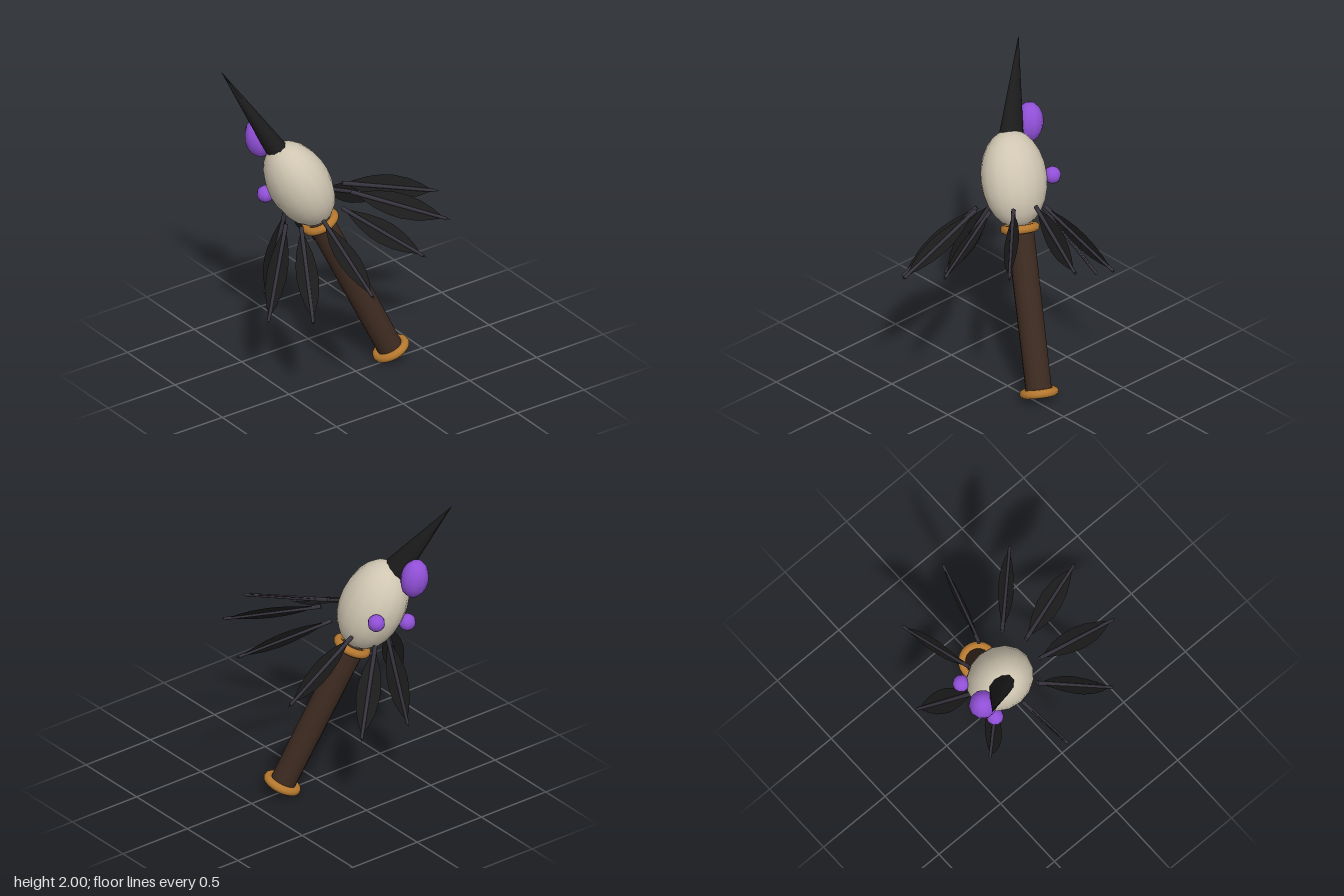
import * as THREE from 'three';

const V = (a) => new THREE.Vector3(...a);
const UP = new THREE.Vector3(0, 1, 0);

const mat = (name, color) => {
  const m = new THREE.MeshStandardMaterial({ color });
  m.name = name;
  return m;
};

export function createModel() {
  const group = new THREE.Group();
  const bone = mat('bone', 0xd0c6b2);
  const wood = mat('dark wood', 0x3c2a20);
  const brass = mat('brass', 0xb5782f);
  const purple = mat('purple', 0x9150d8);
  const black = mat('black', 0x1b1b1b);
  black.side = THREE.DoubleSide;
  const quill = mat('quill grey', 0x37333d);

  const add = (name, geometry, material, position, parent = group) => {
    const mesh = new THREE.Mesh(geometry, material);
    mesh.name = name;
    mesh.position.copy(position);
    parent.add(mesh);
    return mesh;
  };

  // Handle with a ring at each end
  const bottom = V([-0.01, 0.07, -0.27]);
  const top = V([-0.212, 0.99, 0.115]);
  const axis = top.clone().sub(bottom);
  const length = axis.length();
  axis.normalize();
  const lean = new THREE.Quaternion().setFromUnitVectors(UP, axis);
  const handle = add('handle', new THREE.CylinderGeometry(0.084, 0.08, length, 16), wood,
    bottom.clone().add(top).multiplyScalar(0.5));
  handle.quaternion.copy(lean);
  const ringGeometry = new THREE.TorusGeometry(0.095, 0.027, 10, 24).rotateX(Math.PI / 2);
  add('bottomRing', ringGeometry, brass, bottom).quaternion.copy(lean);
  add('topRing', ringGeometry, brass, top).quaternion.copy(lean);

  // Egg-shaped head
  const head = add('head', new THREE.SphereGeometry(1, 16, 12), bone, V([-0.27, 1.27, 0.232]));
  head.scale.set(0.217, 0.302, 0.19);
  head.quaternion.copy(lean);

  // Flattened spike on top of the head
  const spikeBase = V([-0.345, 1.49, 0.335]);
  const spikeAxis = V([-0.625, 2.0, 0.567]).sub(spikeBase);
  const spikeLength = spikeAxis.length();
  const spike = add('spike',
    new THREE.ConeGeometry(1, spikeLength, 10).scale(0.092, 1, 0.065), black,
    spikeBase.clone().addScaledVector(spikeAxis, 0.5));
  spike.quaternion.setFromUnitVectors(UP, spikeAxis.normalize());

  // Purple beads on the side of the head
  const bead = new THREE.SphereGeometry(1, 10, 8);
  const bigBead = add('largeBead', bead, purple, V([-0.52, 1.517, 0.358]));
  bigBead.scale.set(0.088, 0.127, 0.088);
  bigBead.rotation.set(0.12, 0, 0.12);
  add('smallBeadFront', bead, purple, V([-0.432, 1.167, 0.37])).scale.setScalar(0.054);
  add('smallBeadBack', bead, purple, V([-0.47, 1.27, 0.1])).scale.setScalar(0.054);

  // Feather blade of unit length along y, ending in a fine point
  const half = [[0, 0.04], [0.02, 0.1], [0.054, 0.25], [0.073, 0.4], [0.076, 0.52],
    [0.064, 0.67], [0.038, 0.8], [0.012, 0.89], [0.004, 0.93], [0, 1]];
  const outline = [...half, ...half.slice(1, -1).reverse().map(([x, y]) => [-x, y])];
  const blade = new THREE.ShapeGeometry(
    new THREE.Shape(outline.map(([x, y]) => new THREE.Vector2(x, y))));
  const shaft = new THREE.CylinderGeometry(0.01, 0.014, 0.96, 8).translate(0, 0.48, 0);

  // Ring of feathers: root, tip, direction the blade faces
  const feathers = [
    [[-0.33, 1.14, 0.02], [-0.405, 0.87, -0.54], [0.98, -0.15, -0.06]],
    [[-0.2, 1.215, -0.04], [0.008, 1.065, -0.625], [0.87, 0.43, 0.2]],
    [[-0.05, 1.235, 0], [0.395, 1.1, -0.435], [0.64, 0.6, 0.48]],
    [[0.035, 1.2, 0.125], [0.625, 1.05, -0.09], [0.4, 0.85, 0.4]],
    [[0.025, 1.15, 0.26], [0.615, 0.875, 0.295], [0.44, 0.9, 0]],
    [[-0.075, 1.09, 0.355], [0.365, 0.665, 0.575], [0.7, 0.7, 0]],
    [[-0.215, 1.055, 0.37], [-0.05, 0.5, 0.625], [0.96, 0.28, 0]],
    [[-0.345, 1.05, 0.285], [-0.462, 0.44, 0.357], [0.98, -0.18, 0]],
    [[-0.41, 1.07, 0.14], [-0.63, 0.585, -0.145], [0.78, -0.55, 0.3]],
  ];
  feathers.forEach(([root, tip, facing], i) => {
    const along = V(tip).sub(V(root));
    const size = along.length();
    along.normalize();
    const across = along.clone().cross(V(facing)).normalize();
    const normal = across.clone().cross(along);
    const feather = new THREE.Group();
    feather.name = `feather${i + 1}`;
    feather.position.copy(V(root));
    feather.quaternion.setFromRotationMatrix(
      new THREE.Matrix4().makeBasis(across, along, normal));
    feather.scale.y = size;
    add('featherBlade', blade, black, new THREE.Vector3(), feather);
    add('featherShaft', shaft, quill, new THREE.Vector3(), feather);
    group.add(feather);
  });

  return group;
}
